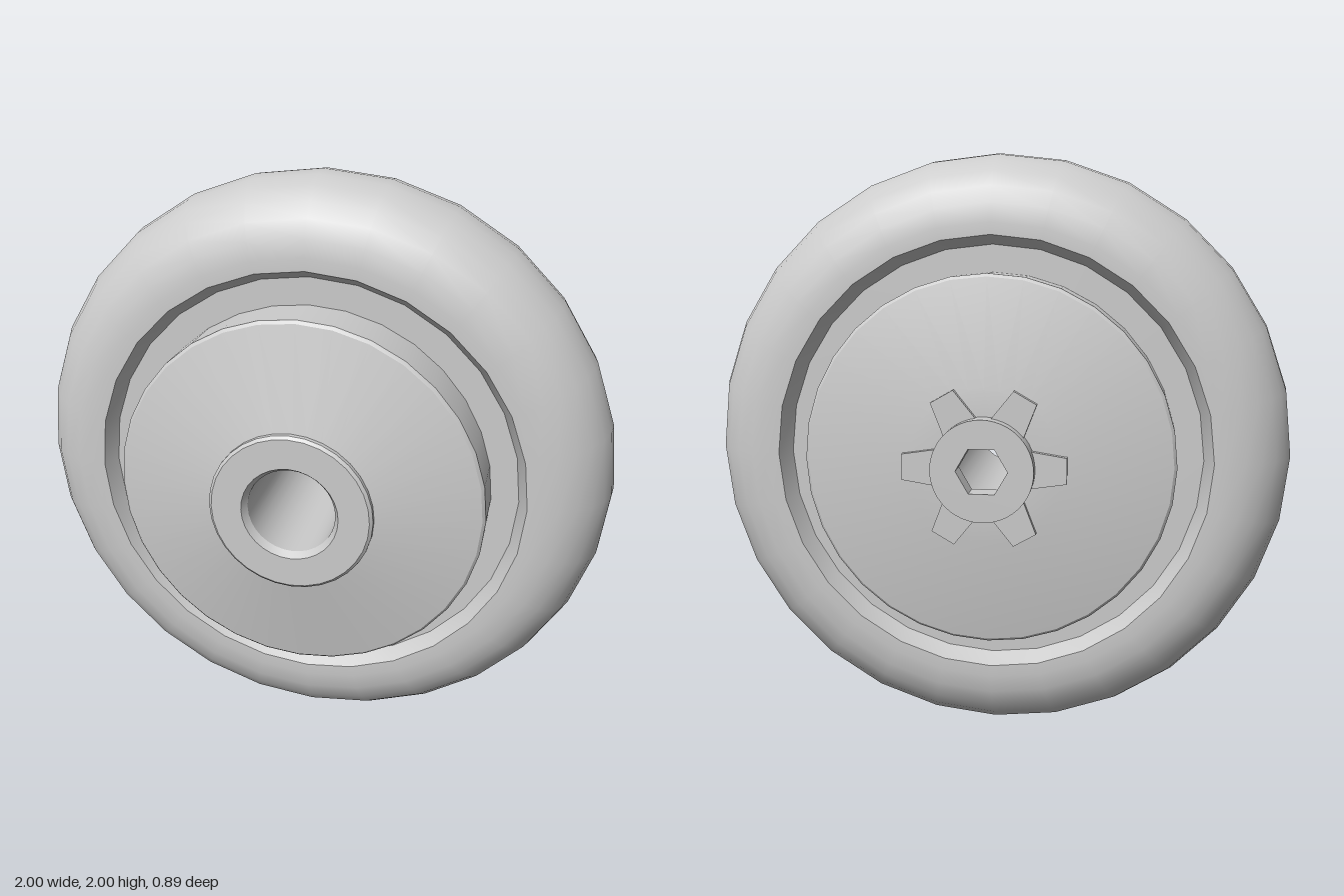
import * as THREE from 'three';
import { toCreasedNormals } from 'three/addons/utils/BufferGeometryUtils.js';

const material = new THREE.MeshStandardMaterial({ color: 0xcccccc });

// Profile points are [radius, z], listed from back to front along the outside.
function turned(name, profile, segments) {
  const points = profile.map(([r, z]) => new THREE.Vector2(r, z));
  const geometry = new THREE.LatheGeometry(points, segments).rotateX(Math.PI / 2);
  const mesh = new THREE.Mesh(toCreasedNormals(geometry, 0.5), material);
  mesh.name = name;
  return mesh;
}

function plate(name, shape, zBack, zFront) {
  const geometry = new THREE.ExtrudeGeometry(shape, {
    depth: zFront - zBack, bevelEnabled: false, curveSegments: 24,
  }).translate(0, 0, zBack);
  const mesh = new THREE.Mesh(toCreasedNormals(geometry, 0.5), material);
  mesh.name = name;
  return mesh;
}

export function createModel() {
  const model = new THREE.Group();
  model.name = 'wheel';
  const wheel = new THREE.Group();
  wheel.name = 'wheelAssembly';
  wheel.position.y = 1;
  model.add(wheel);

  // Tyre: rounded tread with a bevelled lip on each side
  const tread = [];
  for (let i = 0; i <= 12; i++) {
    const a = -Math.PI / 2 + (Math.PI * i) / 12;
    tread.push([0.77 + 0.23 * Math.cos(a), -0.004 + 0.237 * Math.sin(a)]);
  }
  wheel.add(turned('tyre', [
    [0.7, -0.18], [0.73, -0.241], ...tread, [0.73, 0.233], [0.7, 0.18],
  ], 28));

  // Web: floor of the groove between the tyre and the hub
  wheel.add(turned('web', [[0.58, -0.18], [0.71, -0.18], [0.71, 0.18], [0.58, 0.18]], 28));

  // Hub: drum with conical faces, a front boss and a deep bore
  wheel.add(turned('hub', [
    [0.14, -0.385], [0.25, -0.385], [0.6, -0.32], [0.61, -0.31],
    [0.61, 0.34], [0.6, 0.35], [0.27, 0.42], [0.27, 0.436], [0.26, 0.445],
    [0.16, 0.445], [0.145, 0.42], [0.145, -0.39],
  ], 32));

  // Back cap with a hexagonal socket that opens into the bore
  const capShape = new THREE.Shape().absarc(0, 0, 0.165, 0, Math.PI * 2);
  const socket = [];
  for (let i = 0; i < 6; i++) {
    const a = (-i * Math.PI) / 3;
    socket.push(new THREE.Vector2(0.083 * Math.cos(a), 0.083 * Math.sin(a)));
  }
  capShape.holes.push(new THREE.Path(socket));
  wheel.add(plate('backCap', capShape, -0.445, -0.375));

  // Six tapered lugs around the cap
  const lugShape = new THREE.Shape([
    new THREE.Vector2(0.15, -0.06), new THREE.Vector2(0.265, -0.042),
    new THREE.Vector2(0.265, 0.042), new THREE.Vector2(0.15, 0.06),
  ]);
  for (let i = 0; i < 6; i++) {
    const lug = plate('lug' + (i + 1), lugShape, -0.403, -0.37);
    lug.rotation.z = (i * Math.PI) / 3;
    wheel.add(lug);
  }

  return model;
}
